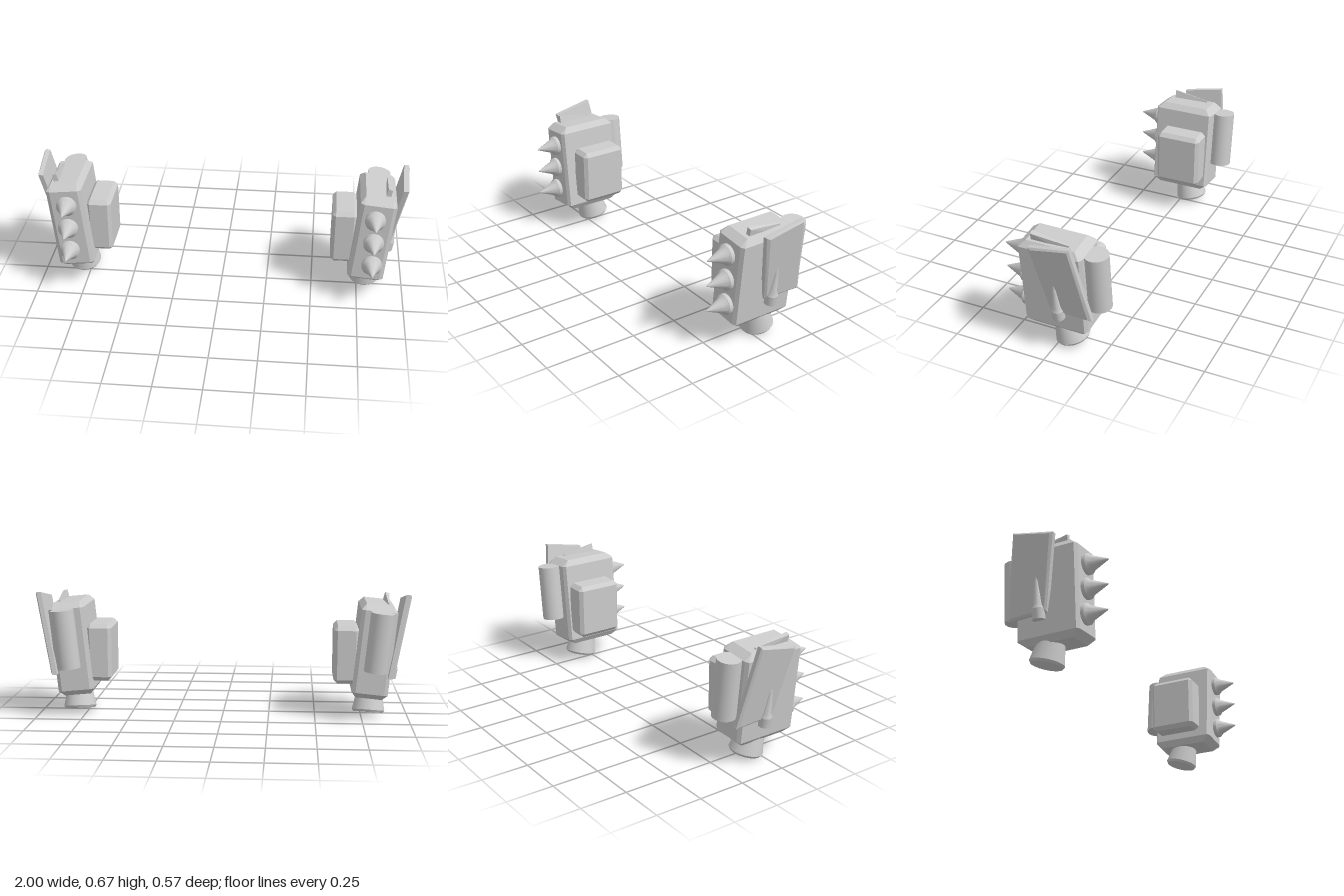
import * as THREE from 'three';
import { toCreasedNormals } from 'three/addons/utils/BufferGeometryUtils.js';
import { ConvexGeometry } from 'three/addons/geometries/ConvexGeometry.js';

const hull = (pts) => new ConvexGeometry(pts.map((p) => new THREE.Vector3(...p)));

const lathe = (pts, sides = 32) =>
  toCreasedNormals(new THREE.LatheGeometry(pts.map((p) => new THREE.Vector2(...p)), sides), 0.4);

// Box with wide chamfers at top and bottom and narrower ones on the upright edges
function chamferBox(w, h, d, bx, by, bz, cx, cz) {
  const pts = [];
  for (const sx of [-1, 1]) for (const sy of [-1, 1]) for (const sz of [-1, 1]) {
    const x = w / 2, y = h / 2, z = d / 2;
    pts.push(
      [sx * (x - bx), sy * y, sz * (z - bz)],
      [sx * x, sy * (y - by), sz * (z - cz)],
      [sx * (x - cx), sy * (y - by), sz * z],
    );
  }
  return hull(pts);
}

// Mirror in x and restore the face winding
function mirrorX(geometry) {
  const g = (geometry.index ? geometry.toNonIndexed() : geometry.clone()).scale(-1, 1, 1);
  const index = [];
  for (let i = 0; i < g.attributes.position.count; i += 3) index.push(i, i + 2, i + 1);
  g.setIndex(index);
  return g;
}

export function createModel() {
  const model = new THREE.Group();
  model.name = 'thrusterPair';
  const grey = new THREE.MeshStandardMaterial({ color: 0xcccccc });
  grey.name = 'light grey';
  const left = new THREE.Group();
  const right = new THREE.Group();
  left.name = 'leftUnit';
  right.name = 'rightUnit';
  model.add(left, right);

  const add = (name, geometry) => {
    for (const [group, g] of [[left, geometry], [right, mirrorX(geometry)]]) {
      const mesh = new THREE.Mesh(g, grey);
      mesh.name = name;
      group.add(mesh);
    }
  };
  const lean = -0.1;

  // Main housing and the pod on its inner side
  add('housing', chamferBox(0.192, 0.51, 0.344, 0.025, 0.032, 0.042, 0.02, 0.012)
    .rotateZ(lean).translate(0.81, 0.369, -0.009));
  add('innerPod', chamferBox(0.134, 0.31, 0.26, 0.02, 0.022, 0.022, 0.018, 0.018)
    .translate(0.663, 0.35, -0.03));

  // Exhaust nozzle, tipped backwards
  add('nozzle', lathe([[0, 0], [0.08, 0], [0.088, 0.012], [0.064, 0.14], [0, 0.14]])
    .rotateX(0.24).rotateZ(-0.06).translate(0.789, 0.023, -0.06));

  // Three front spikes
  for (const y of [0.234, 0.372, 0.509]) {
    add('frontSpike', lathe([[0, 0], [0.054, 0], [0.054, 0.042], [0.039, 0.058], [0.003, 0.146], [0, 0.146]])
      .rotateX(Math.PI / 2).translate(0.818, y, 0.14));
  }

  // Rear canister
  add('canister', new THREE.CylinderGeometry(0.062, 0.062, 0.314, 32)
    .rotateZ(lean).translate(0.828, 0.434, -0.222));

  // Leaning outer fin with bevelled rim
  const corners = [[0.633, 0.067], [0.676, -0.155], [0.239, -0.22], [0.249, 0]];
  const cy = 0.449, cz = -0.077;
  const fin = [];
  for (const [y, z] of corners) {
    const x = 0.912 + 0.202 * (y - 0.24);
    const yi = y + (cy - y) * 0.05, zi = z + (cz - z) * 0.12;
    fin.push([x - 0.032, y, z], [x - 0.008, y, z], [0.912 + 0.202 * (yi - 0.24), yi, zi]);
  }
  add('outerFin', hull(fin));

  // Slim spike set against the outer fin
  add('sideSpike', lathe([[0, 0], [0.032, 0], [0.032, 0.054], [0.023, 0.075], [0.012, 0.19], [0, 0.238]], 24)
    .rotateZ(-0.19).translate(0.903, 0.213, -0.042));

  // Wedge blade on the top
  add('topBlade', hull([
    [0.858, 0.58, 0.098], [0.886, 0.58, 0.098], [0.878, 0.661, 0.098], [0.901, 0.653, 0.098],
    [0.874, 0.58, -0.1], [0.884, 0.58, -0.1], [0.88, 0.628, -0.1], [0.886, 0.626, -0.1],
  ]));

  return model;
}
